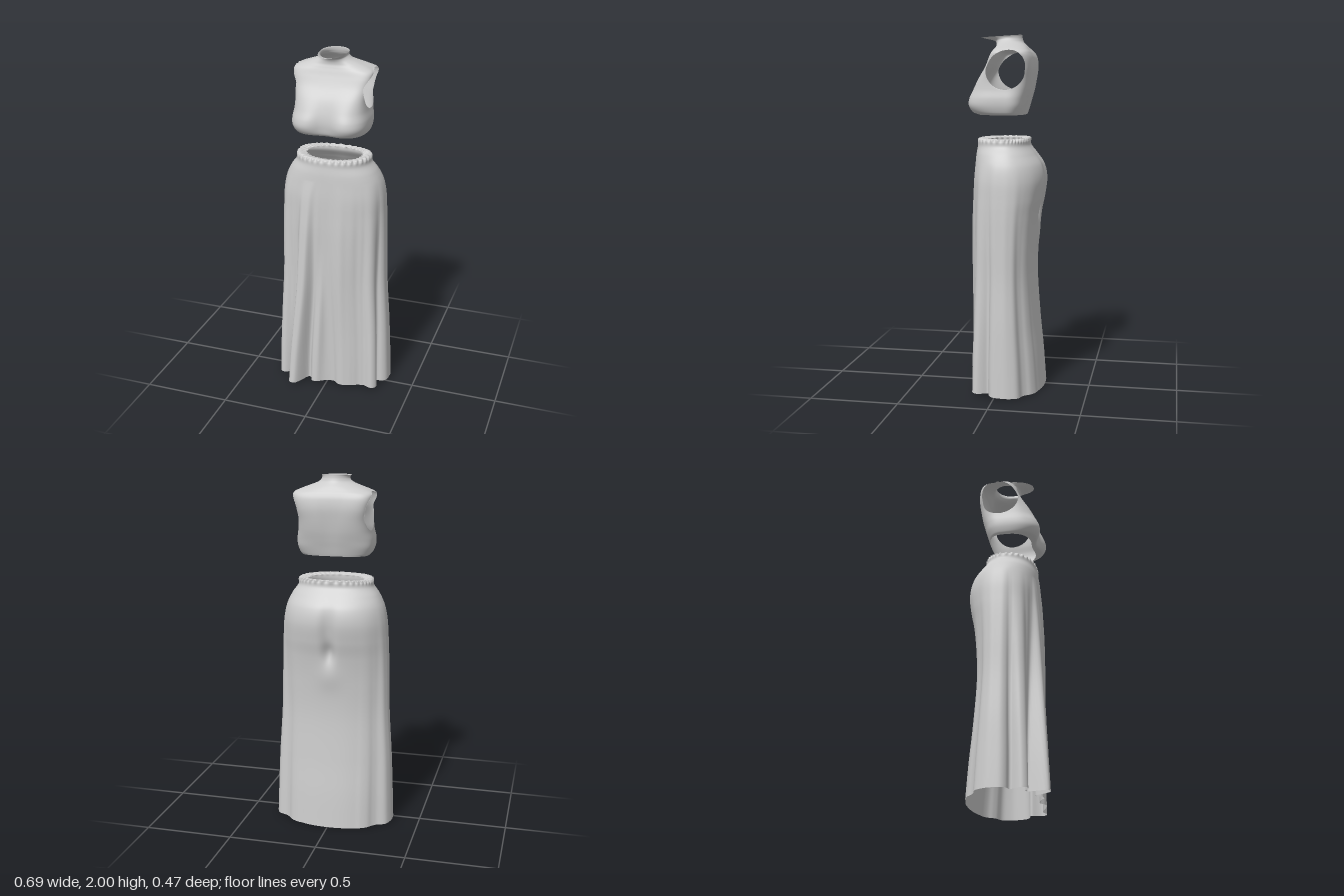
import * as THREE from 'three';

const bump = (v, centre, width) => Math.exp(-(((v - centre) / width) ** 2));
const roundBump = (v, centre, width) => Math.exp(-(((v - centre) / width) ** 4));
const spow = (v, p) => Math.sign(v) * Math.abs(v) ** p;

// Smooth skin through rings listed bottom to top.
// Ring: [y, half width, front z, back z, front squareness, back squareness, extra]
function loft(rings, steps, segments, zMid, adjust, hole) {
  const n = rings[0].length;
  const spline = new THREE.CubicInterpolant(rings.map((_, i) => i), rings.flat(), n, new Float32Array(n));
  const position = [], cut = [], index = [];
  for (let j = 0; j <= steps; j++) {
    const [y, w, zf, zb, nf, nb, extra] = Array.from(spline.evaluate((j / steps) * (rings.length - 1)));
    for (let i = 0; i < segments; i++) {
      const a = (i / segments) * Math.PI * 2;
      const s = Math.sin(a), c = Math.cos(a);
      const power = 2 / (c > 0 ? nf : nb);
      const p = new THREE.Vector3(
        w * spow(s, power), y, zMid + (c > 0 ? zf - zMid : zMid - zb) * spow(c, power));
      adjust(p, a > Math.PI ? a - Math.PI * 2 : a, extra);
      cut.push(hole ? hole(p) : false);
      position.push(p.x, p.y, p.z);
    }
  }
  for (let j = 0; j < steps; j++) {
    for (let i = 0; i < segments; i++) {
      const k = (i + 1) % segments;
      const a = j * segments + i, b = j * segments + k;
      const c = b + segments, d = a + segments;
      for (const tri of [[a, b, c], [a, c, d]]) {
        if (!tri.every((v) => cut[v])) index.push(...tri);
      }
    }
  }
  const geometry = new THREE.BufferGeometry();
  geometry.setAttribute('position', new THREE.Float32BufferAttribute(position, 3));
  geometry.setIndex(index);
  geometry.computeVertexNormals();
  return geometry;
}

// Sleeveless cropped top with a collar lip
function bodice() {
  const rings = [
    [1.56, 0.187, 0.13, -0.125, 2.8, 2.8, 0.015],
    [1.575, 0.2, 0.168, -0.13, 3.1, 2.8, 0.028],
    [1.61, 0.211, 0.188, -0.14, 3.4, 3, 0.04],
    [1.65, 0.212, 0.185, -0.152, 3.4, 3, 0.036],
    [1.7, 0.203, 0.16, -0.165, 3.5, 3.4, 0.02],
    [1.76, 0.199, 0.125, -0.175, 4.2, 4, 0.006],
    [1.82, 0.206, 0.084, -0.18, 5, 5, 0],
    [1.87, 0.219, 0.06, -0.174, 5, 5.5, 0],
    [1.9, 0.221, 0.048, -0.162, 4, 5, 0],
    [1.918, 0.195, 0.041, -0.149, 3, 3.6, 0],
    [1.936, 0.148, 0.036, -0.135, 2.4, 2.6, 0],
    [1.955, 0.1, 0.04, -0.118, 2.1, 2, 0],
    [1.972, 0.079, 0.055, -0.108, 2, 2, 0],
    [1.984, 0.075, 0.088, -0.105, 2.1, 2, 0],
    [1.993, 0.078, 0.127, -0.105, 2.2, 2, 0],
  ];
  const shape = (p, a, cleft) => {
    if (Math.cos(a) > 0) p.z -= cleft * bump(p.x, 0, 0.07);
    else p.z += 0.008 * bump(p.x, 0, 0.05) * bump(p.y, 1.75, 0.15);
    if (p.y > 1.965) p.y += -0.007 * Math.cos(a) * Math.min(1, (p.y - 1.965) / 0.02);
  };
  // Armholes: points inside the egg-shaped outline move out to its rim
  const armhole = (p) => {
    if (Math.abs(p.x) < 0.13) return false;
    const height = (p.y - 1.805) / 0.107;
    const zMid = -0.04 - 0.025 * Math.max(0, height);
    const dz = (p.z - zMid) / 0.108;
    const r = Math.hypot(dz, height);
    if (r >= 1) return false;
    if (r > 0.01) {
      const dy = height / r;
      p.z = -0.04 - 0.025 * Math.max(0, dy) + (0.108 * dz) / r;
      p.y = 1.805 + 0.107 * dy;
    }
    return true;
  };
  return loft(rings, 140, 220, -0.03, shape, armhole);
}

// Long draped skirt with a gathered waist
function skirt() {
  const rings = [
    [0.01, 0.305, 0.152, -0.244, 2.6, 2.3],
    [0.2, 0.303, 0.152, -0.228, 2.6, 2.3],
    [0.4, 0.3, 0.152, -0.207, 2.5, 2.3],
    [0.65, 0.292, 0.154, -0.19, 2.4, 2.3],
    [0.85, 0.293, 0.157, -0.196, 2.4, 2.3],
    [1.0, 0.294, 0.159, -0.212, 2.4, 2.3],
    [1.1, 0.293, 0.158, -0.232, 2.4, 2.3],
    [1.2, 0.289, 0.156, -0.244, 2.4, 2.3],
    [1.28, 0.275, 0.152, -0.228, 2.3, 2.3],
    [1.34, 0.247, 0.148, -0.187, 2.3, 2.3],
    [1.385, 0.215, 0.142, -0.153, 2.3, 2.3],
    [1.415, 0.21, 0.14, -0.148, 2.3, 2.3],
    [1.43, 0.196, 0.126, -0.142, 2.3, 2.3],
    [1.42, 0.158, 0.088, -0.125, 2.2, 2.2],
  ];
  // Hanging folds: [angle at top, angle at hem, width, depth]
  const folds = [
    [-0.3, -0.46, 0.13, 0.095], [-0.5, -0.71, 0.09, -0.012],
    [-0.05, -0.13, 0.08, 0.025], [-0.15, -0.25, 0.06, -0.015],
    [0, 0.06, 0.07, -0.018], [0.3, 0.3, 0.14, 0.01],
    [2.4, 2.45, 0.16, 0.006], [-2.4, -2.45, 0.16, 0.006],
  ];
  for (const side of [-1, 1]) {
    folds.push([side * 0.97, side * 0.97, 0.17, 0.045],
      [side * 1.26, side * 1.26, 0.08, -0.014],
      [side * 1.7, side * 1.7, 0.34, 0.043]);
  }
  const drape = (p, a) => {
    const fall = THREE.MathUtils.clamp((1.3 - p.y) / 1.3, 0, 1);
    const grow = fall * (1.25 - 0.25 * fall);
    let out = 0;
    for (const [top, hem, width, depth] of folds) {
      out += depth * grow * roundBump(a, THREE.MathUtils.lerp(top, hem, fall), width);
    }
    // Creases spreading below the hips at the front
    const gather = bump(p.y, 0.75, 0.35);
    out -= 0.016 * gather * bump(a, -0.2 * fall, 0.08);
    out += 0.008 * gather * bump(a, 0.25, 0.18);
    // Pleats at the waist and faint ripples lower down
    out += 0.006 * bump(p.y, 1.426, 0.014) * Math.cos(36 * a + 1.5 * Math.sin(3 * a));
    out += 0.002 * Math.min(1, fall * 4) * Math.cos(26 * a) * (0.5 + 0.5 * Math.cos(a));
    const x = p.x;
    const outward = new THREE.Vector2(0.6 * Math.sin(a), Math.cos(a)).normalize();
    p.x += out * outward.x;
    p.z += out * outward.y;
    // Seat cleft and the hollow beneath it
    if (Math.cos(a) < 0) {
      p.z += 0.022 * bump(x, 0, 0.04) * bump(p.y, 1.15, 0.13);
      p.z += 0.026 * bump(x, 0, 0.032) * bump(p.y, 1.03, 0.06);
      p.z -= 0.008 * bump(x, 0, 0.07) * bump(p.y, 0.89, 0.07);
    }
    // Hem dips slightly at the back
    p.y += 0.01 * Math.cos(a) * bump(p.y, 0.01, 0.1);
  };
  return loft(rings, 150, 264, -0.03, drape);
}

export function createModel() {
  const group = new THREE.Group();
  group.name = 'outfit';
  const cloth = new THREE.MeshStandardMaterial({ color: 0xcccccc, side: THREE.DoubleSide });
  cloth.name = 'light grey cloth';
  for (const [name, geometry] of [['croppedTop', bodice()], ['longSkirt', skirt()]]) {
    const mesh = new THREE.Mesh(geometry, cloth);
    mesh.name = name;
    group.add(mesh);
  }
  return group;
}
